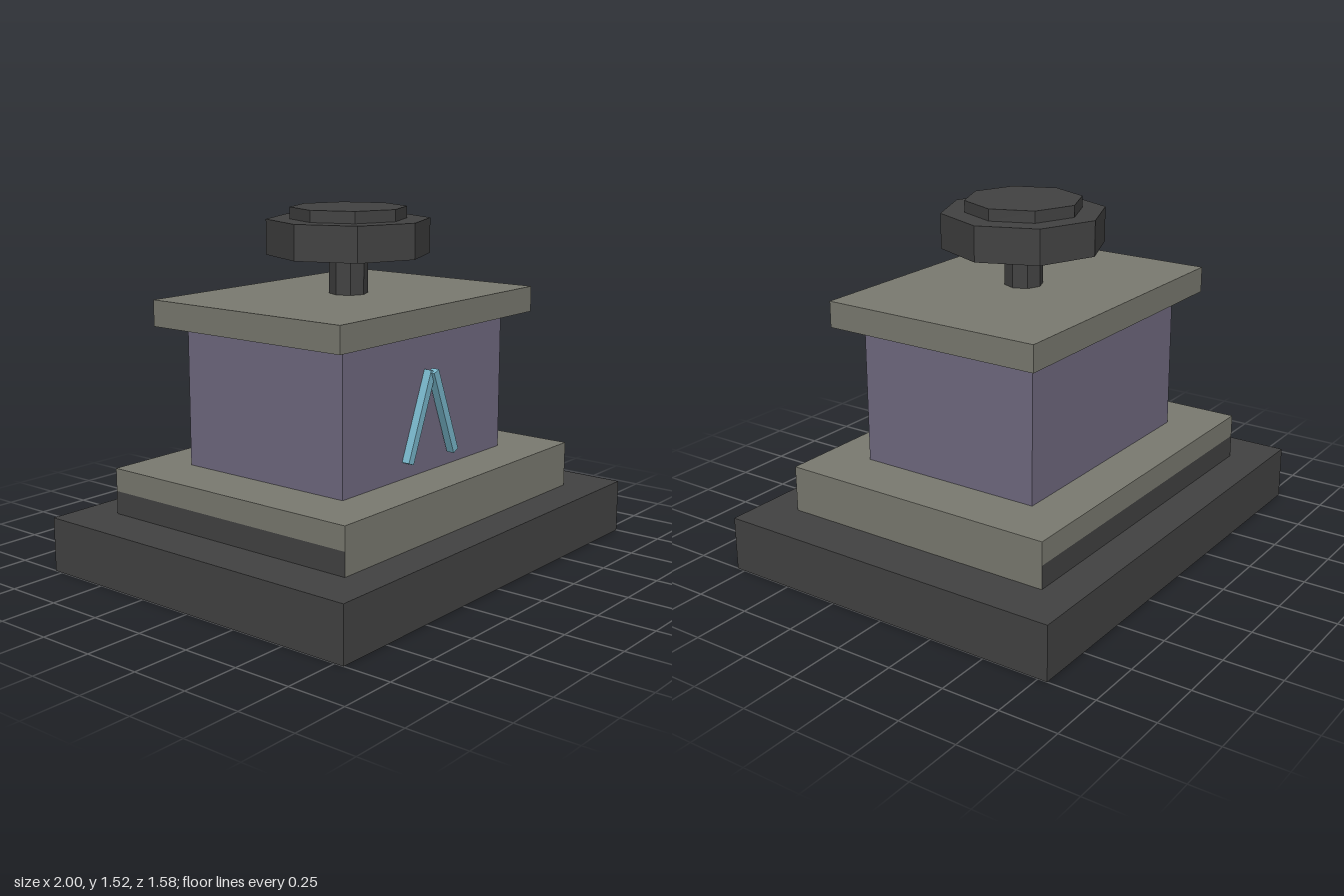
import * as THREE from 'three';

const paint = (name, color) => {
  const m = new THREE.MeshStandardMaterial({ color });
  m.name = name;
  return m;
};

export function createModel() {
  const dark = paint('charcoal', 0x424242);
  const stone = paint('stone', 0x7a7a70);
  const purple = paint('dusky purple', 0x706a80);
  const blue = paint('pale blue', 0x78b6ca);

  const model = new THREE.Group();
  model.name = 'pedestal';

  const add = (name, geometry, material, x, y, z) => {
    const mesh = new THREE.Mesh(geometry, material);
    mesh.name = name;
    mesh.position.set(x, y, z);
    model.add(mesh);
    return mesh;
  };
  // Box resting between two heights
  const slab = (name, w, d, y0, y1, material) =>
    add(name, new THREE.BoxGeometry(w, y1 - y0, d), material, 0, (y0 + y1) / 2, 0);
  // Eight-sided disc between two heights
  const octagon = (name, r, y0, y1) => {
    const g = new THREE.CylinderGeometry(r, r, y1 - y0, 8).toNonIndexed();
    g.computeVertexNormals();
    return add(name, g, dark, 0, (y0 + y1) / 2, 0);
  };

  // Stepped base; the lower plinth band is dark on its back and -x sides
  slab('base', 2, 1.58, 0, 0.235, dark);
  slab('plinthLower', 1.58, 1.25, 0.235, 0.335, [stone, dark, stone, stone, stone, dark]);
  slab('plinthUpper', 1.58, 1.25, 0.335, 0.435, stone);

  // Body and cap
  slab('body', 1.1, 0.835, 0.435, 1.04, purple);
  slab('cap', 1.33, 1, 1.04, 1.152, stone);

  // Knob
  octagon('knobStem', 0.083, 1.152, 1.32);
  octagon('knob', 0.35, 1.32, 1.47);
  octagon('knobTop', 0.25, 1.47, 1.52);

  // Chevron of two leaning bars, one set slightly ahead of the other
  for (const [name, side, z] of [['chevronRightBar', -1, 0.435], ['chevronLeftBar', 1, 0.449]]) {
    const bar = add(name, new THREE.BoxGeometry(0.035, 0.396, 0.035), blue, side * 0.075, 0.685, z);
    bar.rotation.z = side * 0.384;
  }

  return model;
}
